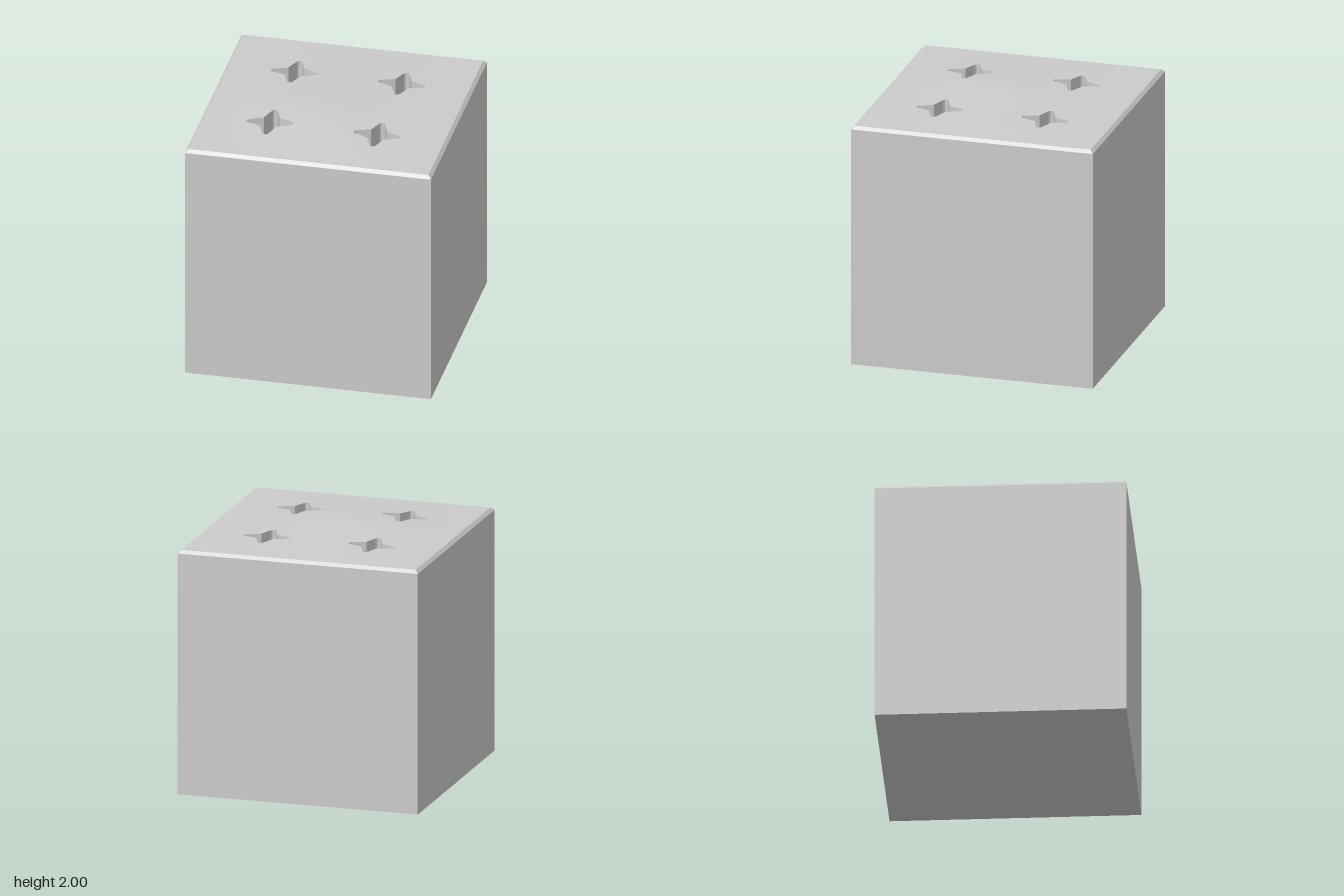
import * as THREE from 'three';

const HALF = 0.975, RIM = 0.95, SIDE_Y = 1.93, TOP_Y = 1.955;
const HOLE = 0.425, HOLE_FLOOR = 1.7;

// gentle mound, highest toward the front right, fading out at the rim
function topHeight(x, z) {
  const fade = (1 - (x / RIM) ** 2) * (1 - (z / RIM) ** 2);
  const mound = Math.exp(-((x + 0.2) ** 2 + (z - 0.2) ** 2) / 0.2);
  return TOP_Y + fade * (0.02 + 0.0292 * mound);
}

// four-pointed star with blunted tips, counter-clockwise
function starPoints() {
  const arm = [[0.185, -0.012], [0.185, 0.012], [0.172, 0.022], [0.064, 0.064], [0.022, 0.172]];
  const pts = [];
  for (let q = 0; q < 4; q++) {
    const c = [1, 0, -1, 0][q], s = [0, 1, 0, -1][q];
    for (const [x, y] of arm) pts.push([x * c - y * s, x * s + y * c]);
  }
  return pts;
}

// distance along a ray from the origin to a closed outline around it
function rayLength(outline, a) {
  const dx = Math.cos(a), dy = Math.sin(a);
  let best = 0;
  outline.forEach(([x1, y1], i) => {
    const [x2, y2] = outline[(i + 1) % outline.length];
    const ex = x2 - x1, ey = y2 - y1, det = dx * ey - dy * ex;
    if (Math.abs(det) < 1e-9) return;
    const t = (x1 * ey - y1 * ex) / det, u = (x1 * dy - y1 * dx) / det;
    if (t > 0 && u > -1e-6 && u < 1 + 1e-6) best = Math.max(best, t);
  });
  return best;
}

// surface through a list of closed loops of [x, y, z] points
function loft(loops, flip) {
  const n = loops[0].length, index = [];
  for (let r = 0; r < loops.length - 1; r++) {
    for (let i = 0; i < n; i++) {
      const j = (i + 1) % n;
      const a = r * n + i, b = r * n + j, c = a + n, d = b + n;
      if (flip) index.push(a, c, b, b, c, d);
      else index.push(a, b, c, b, d, c);
    }
  }
  const g = new THREE.BufferGeometry();
  g.setAttribute('position', new THREE.Float32BufferAttribute(loops.flat(2), 3));
  g.setIndex(index);
  g.computeVertexNormals();
  return g;
}

export function createModel() {
  const group = new THREE.Group();
  const smooth = new THREE.MeshStandardMaterial({ color: 0xcccccc });
  const flat = new THREE.MeshStandardMaterial({ color: 0xcccccc, flatShading: true });
  const add = (name, geometry, material = flat) => {
    const mesh = new THREE.Mesh(geometry, material);
    mesh.name = name;
    group.add(mesh);
    return mesh;
  };

  // open square tube, used for the sides and the bevel
  const tube = (top, bottom, y0, y1) =>
    new THREE.CylinderGeometry(top * Math.SQRT2, bottom * Math.SQRT2, y1 - y0, 4, 1, true)
      .rotateY(Math.PI / 4).translate(0, (y0 + y1) / 2, 0);
  add('sides', tube(HALF, HALF, 0, SIDE_Y));
  add('topBevel', tube(RIM, HALF, SIDE_Y, TOP_Y));
  add('base', new THREE.PlaneGeometry(2 * HALF, 2 * HALF).rotateX(Math.PI / 2));

  // one quarter of the top around a star hole; the other three are mirrored
  const star = starPoints();
  const lo = -HOLE, hi = RIM - HOLE;
  const square = [[lo, lo], [hi, lo], [hi, hi], [lo, hi]];
  const angles = [...star, ...square].map(([x, y]) => Math.atan2(y, x));
  for (let i = 0; i < 48; i++) angles.push(-Math.PI + (i + 0.5) * Math.PI / 24);
  angles.sort((a, b) => a - b);
  const rays = angles.filter((a, i) => i === 0 || a - angles[i - 1] > 1e-5)
    .map(a => ({ c: Math.cos(a), s: Math.sin(a), inner: rayLength(star, a), outer: rayLength(square, a) }));

  const RINGS = 8;
  for (const sx of [1, -1]) {
    for (const sz of [1, -1]) {
      const mirrored = sx * sz < 0;
      const loop = (t, y) => rays.map(({ c, s, inner, outer }) => {
        const r = inner + (outer - inner) * t;
        const x = sx * (HOLE + r * c), z = sz * (HOLE + r * s);
        return [x, y ?? topHeight(x, z), z];
      });
      const rings = [];
      for (let k = 0; k <= RINGS; k++) rings.push(loop(k / RINGS));
      add('topSurface', loft(rings, mirrored), smooth);

      // star-shaped socket: walls and floor
      add('socketWall', loft([loop(0, HOLE_FLOOR), loop(0)], mirrored));
      const floor = new THREE.ShapeGeometry(new THREE.Shape(star.map(p => new THREE.Vector2(...p))));
      add('socketFloor', floor.rotateX(-Math.PI / 2).translate(sx * HOLE, HOLE_FLOOR, sz * HOLE));
    }
  }
  return group;
}
